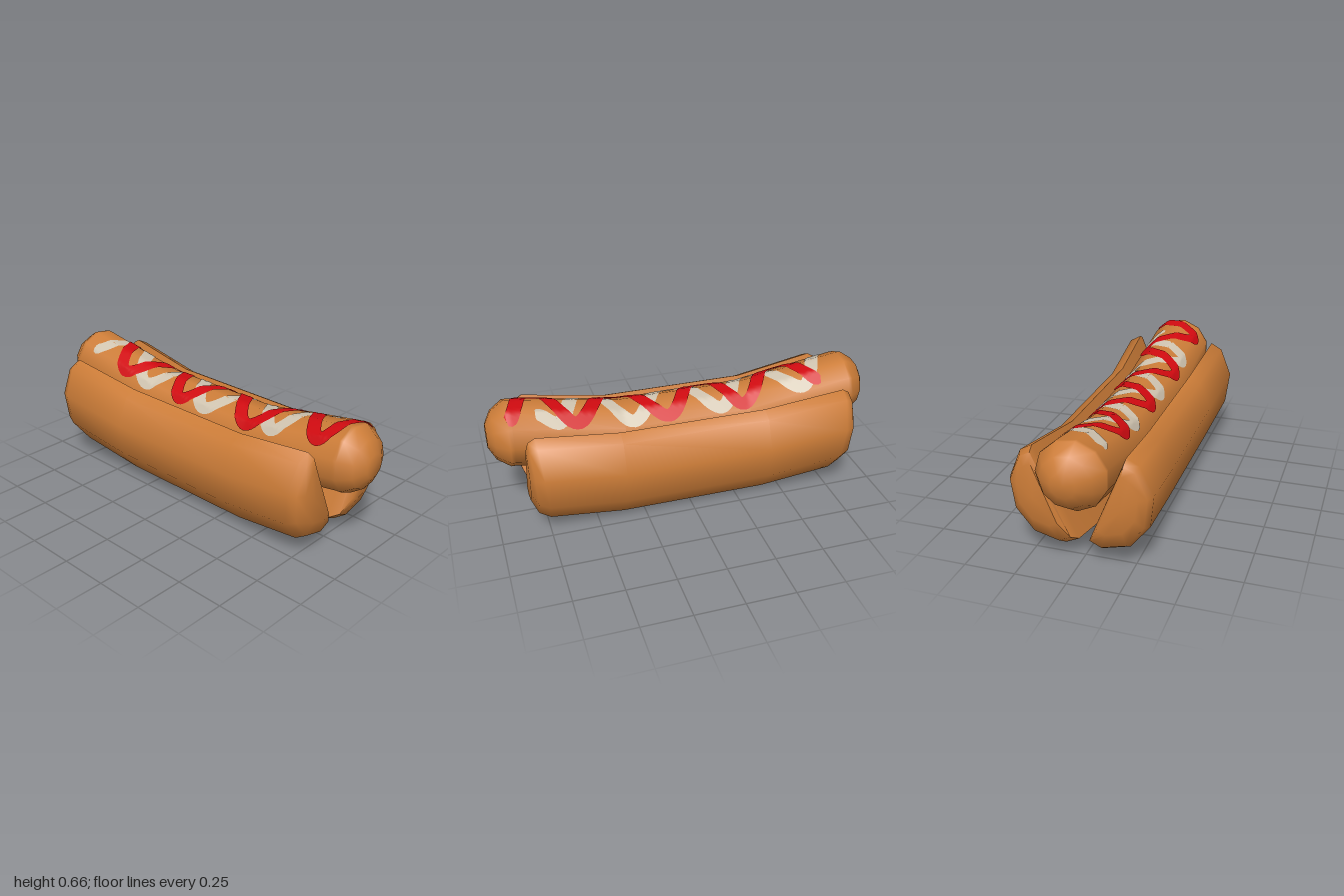
import * as THREE from 'three';
import { mergeVertices, toCreasedNormals } from 'three/addons/utils/BufferGeometryUtils.js';

const { lerp, clamp } = THREE.MathUtils;

// Skin over cross-sections (counter-clockwise seen from +z, listed from back to front), closed at both ends
function loft(rings) {
  const n = rings[0].length, pos = [], idx = [];
  rings.flat().forEach((p) => pos.push(...p));
  for (let i = 0; i < rings.length - 1; i++) {
    for (let j = 0; j < n; j++) {
      const a = i * n + j, b = i * n + (j + 1) % n;
      idx.push(a, b, b + n, a, b + n, a + n);
    }
  }
  [0, rings.length - 1].forEach((r) => {
    const c = pos.length / 3;
    pos.push(...[0, 1, 2].map((k) => rings[r].reduce((s, p) => s + p[k], 0) / n));
    for (let j = 0; j < n; j++) {
      const a = r * n + j, b = r * n + (j + 1) % n;
      idx.push(c, ...(r === 0 ? [b, a] : [a, b]));
    }
  });
  return build(pos, idx);
}

function build(pos, idx) {
  const g = new THREE.BufferGeometry();
  g.setAttribute('position', new THREE.Float32BufferAttribute(pos, 3));
  g.setIndex(idx);
  g.computeVertexNormals();
  return g;
}

// Sausage: eleven sides, ends bent upward
const SIDES = 11, R = 0.17, STEP = (2 * Math.PI) / SIDES;
const centreY = (z) => lerp(0.4, 0.49, clamp((Math.abs(z) - 0.33) / 0.55, 0, 1));
function radius(z) {
  const a = Math.abs(z);
  if (a < 0.9) return R;
  return a < 0.965 ? lerp(R, 0.125, (a - 0.9) / 0.065) : lerp(0.125, 0.06, (a - 0.965) / 0.035);
}

function sausageGeometry() {
  const half = [0.33, 0.88, 0.9, 0.965, 1];
  const zs = [...half.map((z) => -z).reverse(), ...half];
  return loft(zs.map((z) => Array.from({ length: SIDES }, (_, j) =>
    [radius(z) * Math.cos(j * STEP), centreY(z) + radius(z) * Math.sin(j * STEP), z])));
}

// Point just above the sausage's faceted surface; t is the angle from the top towards +x
function onSausage(t, z, lift) {
  const a = Math.PI / 2 - t;
  const local = ((a % STEP) + STEP) % STEP - STEP / 2;
  const r = radius(z) * Math.cos(STEP / 2) / Math.cos(local) + lift;
  return [r * Math.cos(a), centreY(z) + r * Math.sin(a), z];
}

// Sauce ribbon waving between turning points [angle, z]
function sauceGeometry(turns, lift) {
  const steps = 18, across = 10, halfWidth = 0.034;
  const path = [];
  for (let i = 0; i < turns.length - 1; i++) {
    for (let s = i ? 1 : 0; s <= steps; s++) {
      const k = s / steps, wave = (1 - Math.cos(Math.PI * k)) / 2;
      path.push([R * lerp(turns[i][0], turns[i + 1][0], wave), lerp(turns[i][1], turns[i + 1][1], k)]);
    }
  }
  const pos = [], idx = [], last = path.length - 1;
  path.forEach(([u, z], i) => {
    const p = path[Math.max(i - 1, 0)], q = path[Math.min(i + 1, last)];
    const du = q[0] - p[0], dz = q[1] - p[1], len = Math.hypot(du, dz);
    const end = Math.min(1, (Math.min(i, last - i) + 0.6) / 3); // rounded ends
    const w = halfWidth * Math.sqrt(1 - (1 - end) ** 2);
    for (let j = 0; j <= across; j++) {
      const o = w * (2 * j / across - 1);
      pos.push(...onSausage((u + o * dz / len) / R, z - o * du / len, lift));
      if (i < last && j < across) {
        const a = i * (across + 1) + j, b = a + across + 1;
        idx.push(a, b, b + 1, a, b + 1, a + 1);
      }
    }
  });
  return build(pos, idx);
}

// Bun half: flat cut face inside, rounded outside, ends sliding up along the cut
function bunGeometry(side) {
  const section = [[0, 0.035], [0.065, 0.003], [0.2, 0.04], [0.297, 0.165],
    [0.317, 0.332], [0.255, 0.475], [0.195, 0.508]];
  // z, slide along the cut, scale towards the middle of the end, lean
  const half = [[0.38, 0, 1, 0], [0.775, 1, 1, 0.09], [0.822, 1, 0.88, 0.05], [0.848, 1, 0.6, 0]];
  const stations = [...half.map(([z, ...rest]) => [-z, ...rest]).reverse(), ...half];
  const rings = stations.map(([z, slide, scale, lean]) => {
    const ring = section.map(([x, y]) => {
      const px = lerp(0.2, x + 0.025 * slide, scale);
      const py = lerp(0.39, y + 0.06 * slide, scale);
      return [side * px, py, z + Math.sign(z) * lean * (py - 0.3) - 0.01];
    });
    return side > 0 ? ring : ring.reverse();
  });
  return toCreasedNormals(mergeVertices(loft(rings)), 1.15);
}

export function createModel() {
  const material = (name, color, side = THREE.FrontSide) => {
    const m = new THREE.MeshStandardMaterial({ color, side });
    m.name = name;
    return m;
  };
  const brown = material('toastedBrown', 0xcd7d38);
  const red = material('sauceRed', 0xd00a10, THREE.DoubleSide);
  const cream = material('sauceCream', 0xd0c4b0, THREE.DoubleSide);

  const group = new THREE.Group();
  group.name = 'hotDog';
  const add = (name, geometry, mat) => {
    const mesh = new THREE.Mesh(geometry, mat);
    mesh.name = name;
    group.add(mesh);
  };

  add('leftBunHalf', bunGeometry(1), brown);
  add('rightBunHalf', bunGeometry(-1), brown);
  add('sausage', sausageGeometry(), brown);

  // Sauces
  const T = 0.8;
  add('creamSauce', sauceGeometry([[-0.7, -0.81], [T, -0.63], [-T, -0.38], [T, -0.18],
    [-T, 0.05], [T, 0.28], [-T, 0.5], [T, 0.66], [0.5, 0.76]], 0.003), cream);
  add('redSauce', sauceGeometry([[0.75, -0.73], [-T, -0.54], [T, -0.3], [-T, -0.12],
    [T, 0.1], [-T, 0.34], [T, 0.57], [-T, 0.77], [0.75, 0.9]], 0.006), red);

  return group;
}
